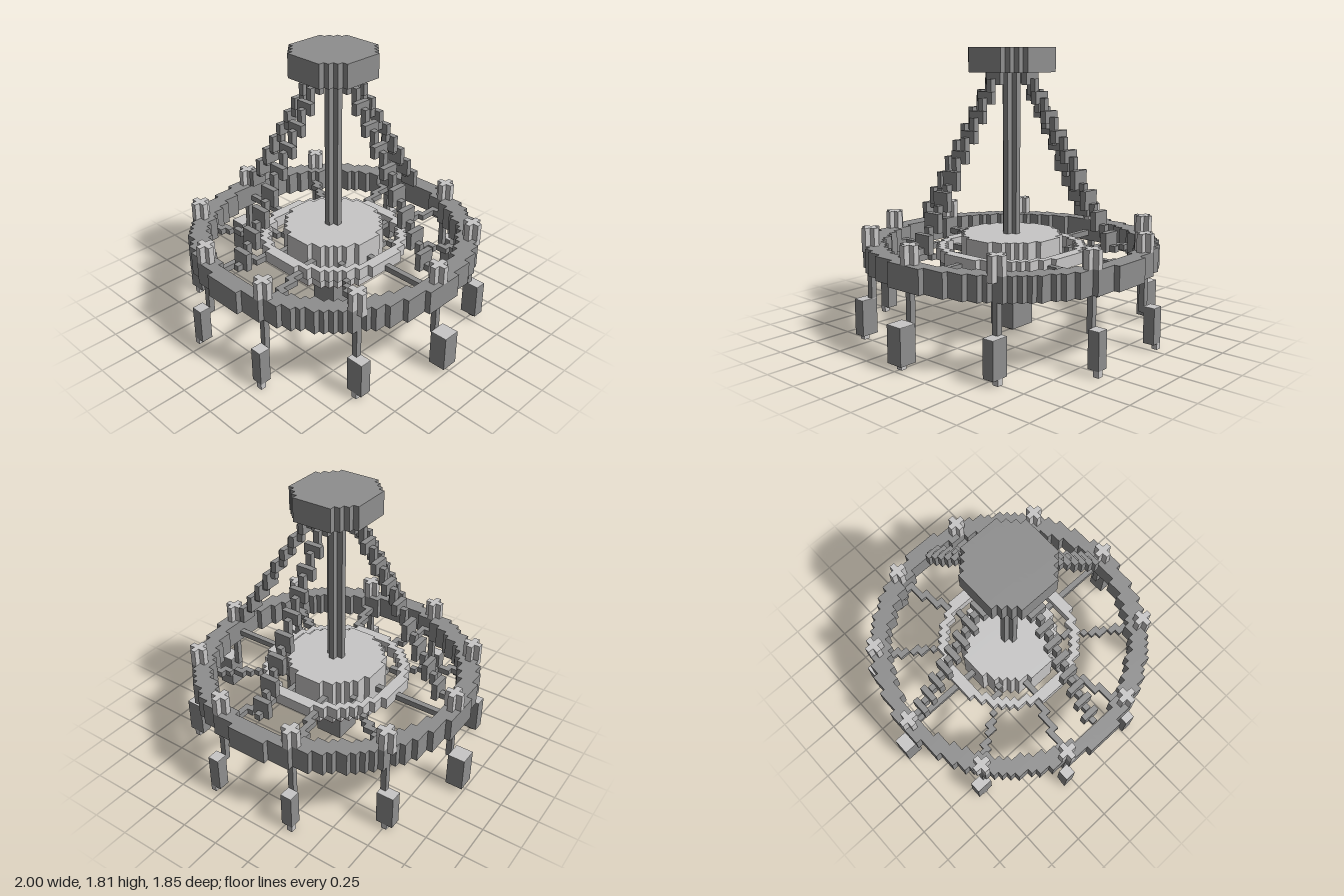
import * as THREE from 'three';

const V = 2 / 53; // edge of one block

// the six block faces: normal, then two edge axes with u x v = normal
const FACES = [
  [[1, 0, 0], [0, 1, 0], [0, 0, 1]], [[-1, 0, 0], [0, 0, 1], [0, 1, 0]],
  [[0, 1, 0], [0, 0, 1], [1, 0, 0]], [[0, -1, 0], [1, 0, 0], [0, 0, 1]],
  [[0, 0, 1], [1, 0, 0], [0, 1, 0]], [[0, 0, -1], [0, 1, 0], [1, 0, 0]],
];

// set of blocks where test(x, z) holds, on layers y0..y1
function layers(test, y0, y1, cells = new Map()) {
  for (let x = -26; x <= 26; x++)
    for (let z = -26; z <= 26; z++)
      if (test(x, z)) for (let y = y0; y <= y1; y++) cells.set(`${x},${y},${z}`, [x, y, z]);
  return cells;
}

// mesh of the exposed block faces only
function blocks(name, material, cells) {
  const pos = [], nor = [], idx = [];
  for (const [x, y, z] of cells.values()) {
    for (const [n, u, v] of FACES) {
      if (cells.has(`${x + n[0]},${y + n[1]},${z + n[2]}`)) continue;
      const b = pos.length / 3, c = [x, y + 0.5, z];
      for (const [s, t] of [[-1, -1], [1, -1], [1, 1], [-1, 1]]) {
        for (let k = 0; k < 3; k++) pos.push((c[k] + (n[k] + s * u[k] + t * v[k]) / 2) * V);
        nor.push(...n);
      }
      idx.push(b, b + 1, b + 2, b, b + 2, b + 3);
    }
  }
  const g = new THREE.BufferGeometry();
  g.setAttribute('position', new THREE.Float32BufferAttribute(pos, 3));
  g.setAttribute('normal', new THREE.Float32BufferAttribute(nor, 3));
  g.setIndex(idx);
  const mesh = new THREE.Mesh(g, material);
  mesh.name = name;
  return mesh;
}

const disc = (r) => (x, z) => Math.hypot(x, z) <= r;
const annulus = (r0, r1) => (x, z) => Math.hypot(x, z) >= r0 && Math.hypot(x, z) <= r1;
const plus = (cx, cz) => (x, z) => Math.abs(x - cx) + Math.abs(z - cz) <= 1;
const square = (cx, cz, h) => (x, z) => Math.abs(x - cx) <= h && Math.abs(z - cz) <= h;
const cell = (cx, cz) => square(cx, cz, 0);

export function createModel() {
  const paint = (name, color) => {
    const m = new THREE.MeshStandardMaterial({ color });
    m.name = name;
    return m;
  };
  const iron = paint('iron grey', 0x8e8e8e);
  const pale = paint('pale grey', 0xc8c7c7);
  const rose = paint('dusky rose', 0xa88888);
  const group = new THREE.Group();
  group.name = 'chandelier';
  const add = (name, mat, cells, parent = group) => parent.add(blocks(name, mat, cells));

  // central column
  add('ceilingCap', iron, layers(disc(6.8), 44, 47));
  add('stem', iron, layers(plus(0, 0), 17, 43));
  add('hub', pale, layers(disc(8.4), 9, 16));
  add('pendant', iron, layers(square(0, 0, 2), 1, 8));
  add('pendantTip', iron, layers(cell(0, 0), 0, 0));

  // thin coloured plate under the hub
  const under = blocks('hubUnderside', rose, layers(disc(8.4), 0, 0));
  under.scale.y = 0.1;
  under.position.y = 9 * V - 0.003;
  group.add(under);

  // rings
  add('outerRing', iron, layers(annulus(21.4, 24.25), 12, 15));
  add('innerRing', pale, layers(annulus(11, 12.4), 13, 14));

  // four chains, with every second link turned crosswise
  for (const [dx, dz] of [[1, 0], [-1, 0], [0, 1], [0, -1]]) {
    const chain = new Map();
    for (let y = 17; y <= 43; y++) {
      const at = (h) => Math.round(21 - ((h - 17) / 26) * 17);
      const r0 = at(y + 1), r1 = at(y);
      for (let r = Math.max(4, r0); r <= r1; r++) {
        const w = r % 2 === 0 ? 1 : 0;
        for (let t = -w; t <= w; t++) layers(cell(dx * r + dz * t, dz * r + dx * t), y, y, chain);
      }
    }
    add('chain', iron, chain);
  }

  // ten arms, each with a spoke, candle, hanger and lantern
  for (let i = 0; i < 10; i++) {
    const a = (i * Math.PI) / 5, c = Math.cos(a), s = Math.sin(a);
    const arm = new THREE.Group();
    arm.name = 'arm';
    group.add(arm);

    const spoke = new Map();
    for (let r = 8; r <= 22; r += 0.5) layers(cell(Math.round(c * r), Math.round(s * r)), 13, 13, spoke);
    add('spoke', iron, spoke, arm);

    const px = Math.round(c * 23), pz = Math.round(s * 23);
    add('candle', pale, layers(plus(px, pz), 15, 18), arm);
    add('hanger', iron, layers(cell(px, pz), 6, 11), arm);

    const body = square(c * 24.9, s * 24.9, 1.2);
    add('lantern', iron, layers(body, 1, 6), arm);
    add('lanternTip', pale, layers(cell(Math.round(c * 24.9), Math.round(s * 24.9)), 0, 0), arm);
    const lid = blocks('lanternLid', pale, layers(body, 0, 0));
    lid.scale.y = 0.1;
    lid.position.y = 7 * V - 0.001;
    arm.add(lid);
  }
  return group;
}
